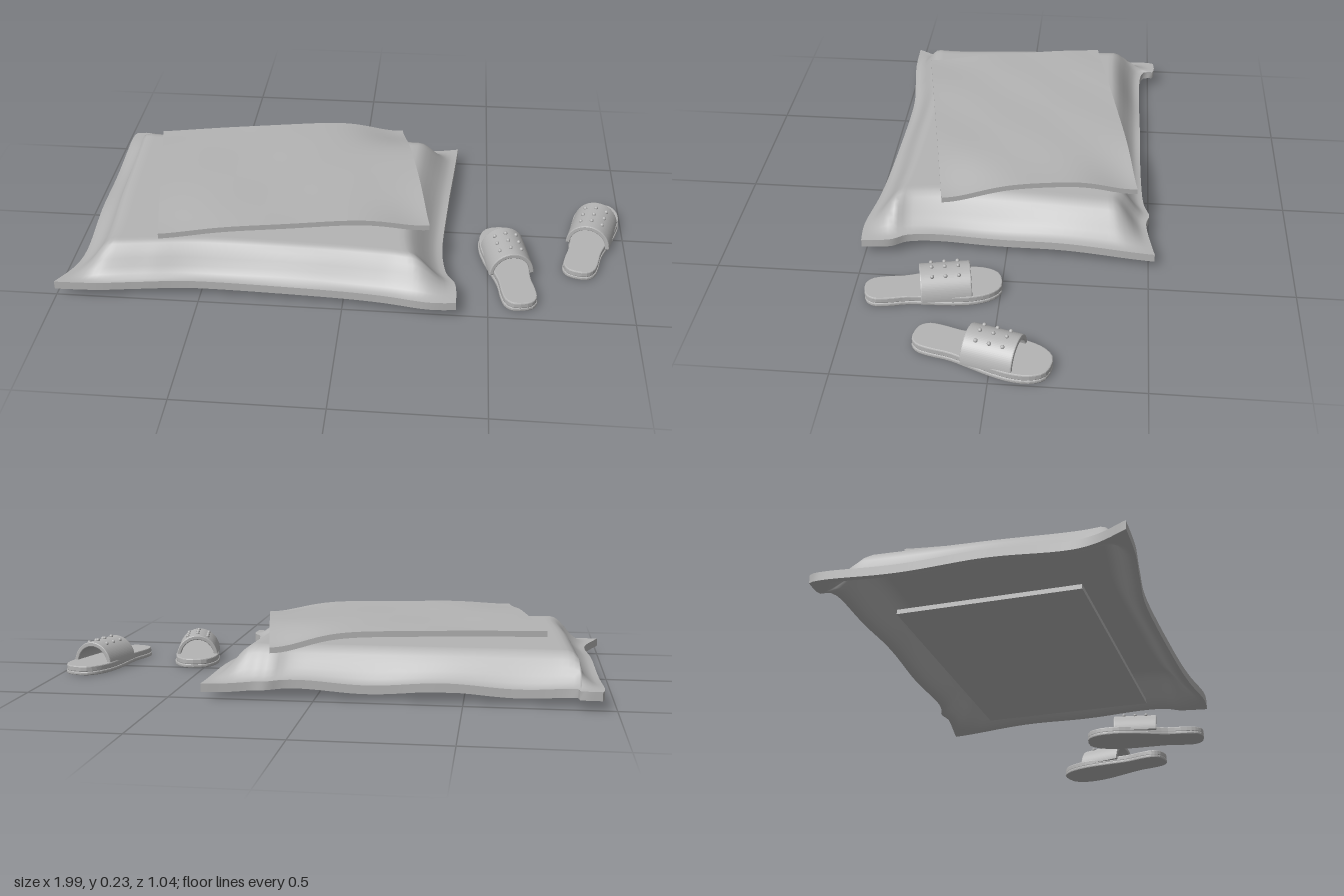
import * as THREE from 'three';

const grey = new THREE.MeshStandardMaterial({ color: 0xb4b4b4 });
grey.name = 'soft grey';

function addMesh(parent, name, geometry) {
  const mesh = new THREE.Mesh(geometry, grey);
  mesh.name = name;
  parent.add(mesh);
  return mesh;
}

// Subdivided box bent by a rule: place(u, v) gives the top point, the underside follows at a fixed depth
function slab(nu, nv, thickness, place) {
  const geo = new THREE.BoxGeometry(1, 1, 1, nu, 1, nv);
  const pos = geo.attributes.position;
  for (let i = 0; i < pos.count; i++) {
    const p = place(pos.getX(i) + 0.5, pos.getZ(i) + 0.5);
    pos.setXYZ(i, p[0], p[1] - (pos.getY(i) < 0 ? thickness : 0), p[2]);
  }
  geo.computeVertexNormals();
  return geo;
}

const spline = (pts) => new THREE.SplineCurve(pts.map((p) => new THREE.Vector2(...p)));
const lerp = THREE.MathUtils.lerp;

// Cushion: patch between four wavy edges, hollow below
function cushionGeometry() {
  const a = [-0.95, -0.52], b = [0.38, -0.52], c = [0.39, 0.51], d = [-1.0, 0.51];
  const back = spline([a, [-0.88, -0.52], [-0.83, -0.465], [-0.4, -0.465], [0.05, -0.475], [0.16, -0.5], [0.22, -0.49], b]);
  const front = spline([d, [-0.85, 0.505], [-0.7, 0.485], [-0.5, 0.465], [-0.1, 0.475], [0.12, 0.49], [0.29, 0.515], c]);
  const left = spline([a, [-0.96, -0.44], [-0.95, 0], [-0.94, 0.34], d]);
  const right = spline([b, [0.365, -0.3], [0.35, -0.1], [0.335, 0.18], [0.35, 0.34], [0.385, 0.41], c]);
  const mix = (u, v, k) => lerp(lerp(a[k], b[k], u), lerp(d[k], c[k], u), v);
  return slab(72, 56, 0.03, (u, v) => {
    const B = back.getPointAt(u), F = front.getPointAt(u), L = left.getPointAt(v), R = right.getPointAt(v);
    const x = lerp(B.x, F.x, v) + lerp(L.x, R.x, u) - mix(u, v, 0);
    const z = lerp(B.y, F.y, v) + lerp(L.y, R.y, u) - mix(u, v, 1);
    const rise = THREE.MathUtils.smoothstep(Math.min(u, 1 - u) * 1.35, 0.01, 0.15)
      * THREE.MathUtils.smoothstep(Math.min(v, 1 - v), 0.01, 0.125);
    const ripple = 0.007 * Math.sin(u * 17 + 1) * Math.cos(v * 11) * (1 - rise);
    return [x, 0.063 + 0.106 * rise + ripple, z];
  });
}

// Sheet: turned quadrilateral with drooping corners
function sheetGeometry() {
  const corners = [
    [-0.775, -0.28, 0.004], [0.155, -0.453, 0.053], [0.287, 0.235, 0.038], [-0.645, 0.405, 0.013],
  ];
  return slab(48, 36, 0.02, (u, v) => {
    const at = (k) => lerp(lerp(corners[0][k], corners[1][k], u), lerp(corners[3][k], corners[2][k], u), v);
    const x = at(0), z = at(1);
    let y = 0.227 + 0.002 * Math.sin(u * 13 + v * 5) * Math.sin(v * 9);
    for (const [cx, cz, drop] of corners) {
      y -= drop * Math.exp(-((x - cx) ** 2 + (z - cz) ** 2) / 0.026);
    }
    return [x, y, z];
  });
}

// Flat layer of a sole; grow widens the outline
function soleLayer(halfWidths, grow, height, y) {
  const pts = halfWidths.map(([w, z]) => [w + grow, z]);
  const loop = [...pts, ...pts.map(([w, z]) => [-w, z]).reverse()];
  const curve = new THREE.CatmullRomCurve3(loop.map(([x, z]) => new THREE.Vector3(x, -z, 0)), true, 'centripetal');
  const shape = new THREE.Shape(curve.getPoints(48).map((p) => new THREE.Vector2(p.x, p.y)));
  const bevel = 0.004;
  const geo = new THREE.ExtrudeGeometry(shape, {
    depth: height - 2 * bevel, bevelThickness: bevel, bevelSize: bevel, bevelOffset: -bevel, bevelSegments: 2,
  });
  return geo.rotateX(-Math.PI / 2).translate(0, y + bevel, 0);
}

function slipper(name, x, z, angle) {
  const group = new THREE.Group();
  group.name = name;
  const outline = [
    [0.035, -0.228], [0.068, -0.19], [0.082, -0.13], [0.08, -0.06], [0.068, 0.02],
    [0.058, 0.09], [0.06, 0.16], [0.054, 0.205], [0.03, 0.23],
  ];
  addMesh(group, 'outsole', soleLayer(outline, 0.003, 0.014, 0.002));
  addMesh(group, 'insole', soleLayer(outline, 0, 0.022, 0.014));

  // Arched strap
  const arch = new THREE.Shape();
  arch.absellipse(0, 0, 0.08, 0.085, 0, Math.PI, false);
  arch.lineTo(-0.065, 0);
  arch.absellipse(0, 0, 0.065, 0.068, Math.PI, 0, true);
  const strap = new THREE.ExtrudeGeometry(arch, {
    depth: 0.164, bevelThickness: 0.004, bevelSize: 0.003, bevelOffset: -0.003, bevelSegments: 2, curveSegments: 24,
  });
  addMesh(group, 'strap', strap.translate(0, 0.022, -0.122));

  // Three rows of studs
  for (let row = 0; row < 3; row++) {
    for (let col = -1; col <= 1; col++) {
      const t = col * 0.5;
      const stud = addMesh(group, 'stud', new THREE.SphereGeometry(0.007, 10, 8));
      stud.position.set(0.081 * Math.sin(t), 0.022 + 0.087 * Math.cos(t), -0.085 + row * 0.045);
    }
  }
  group.position.set(x, 0, z);
  group.rotation.y = angle;
  return group;
}

export function createModel() {
  const model = new THREE.Group();
  model.name = 'cushionAndSlippers';
  addMesh(model, 'cushion', cushionGeometry());
  addMesh(model, 'sheet', sheetGeometry());
  const plate = addMesh(model, 'basePlate', new THREE.BoxGeometry(0.94, 0.016, 0.62));
  plate.position.set(-0.27, 0.012, 0);
  model.add(slipper('rightSlipper', 0.575, 0.227, 0.19));
  model.add(slipper('leftSlipper', 0.875, 0.03, -0.26));
  return model;
}
